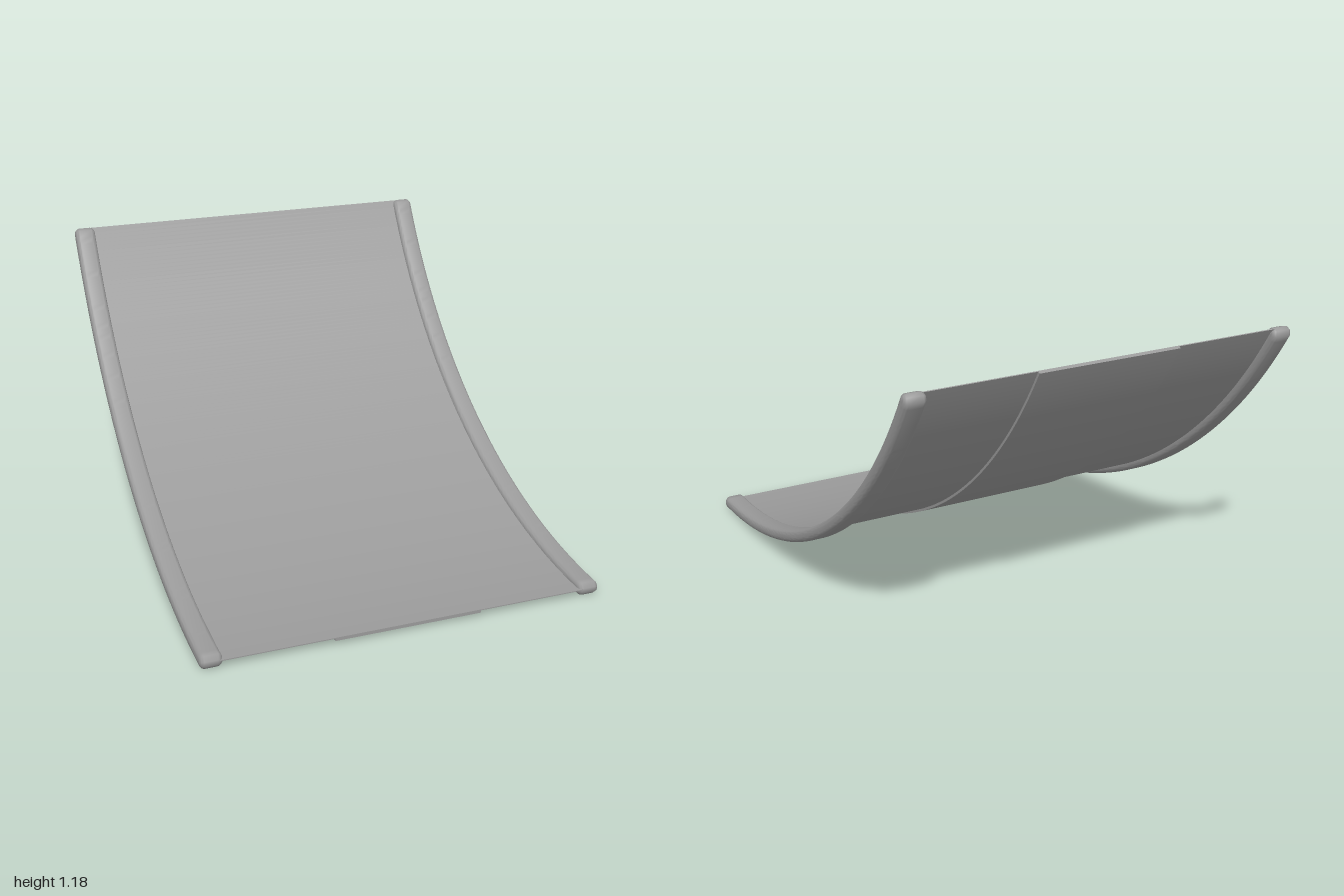
import * as THREE from 'three';
import { toCreasedNormals } from 'three/addons/utils/BufferGeometryUtils.js';

const R = 2.292;              // centreline radius of the side rails
const HALF = 0.027;           // half the rail thickness
const SWEEP = Math.PI / 3;    // the panel curves through 60 degrees
const START = -Math.PI / 2;
const material = new THREE.MeshStandardMaterial({ color: 0x9a9a9a });

// Curved band between two radii, extruded across x; bevel rounds all its edges
function curvedBand(name, inner, outer, width, bevel = 0) {
  const a = START - bevel / R;
  const b = START - SWEEP + bevel / R;
  const c = bevel * 0.18;     // chamfer of the end corners
  const shape = new THREE.Shape();
  const at = (r, t) => [r * Math.cos(t), r * Math.sin(t)];
  shape.moveTo(...at(outer, a - c / R));
  shape.absarc(0, 0, outer, a - c / R, b + c / R, true);
  if (c) {
    shape.lineTo(...at(outer - c, b));
    shape.lineTo(...at(inner + c, b));
  }
  shape.lineTo(...at(inner, b + c / R));
  shape.absarc(0, 0, inner, b + c / R, a - c / R, false);
  if (c) {
    shape.lineTo(...at(inner + c, a));
    shape.lineTo(...at(outer - c, a));
  }
  shape.closePath();

  const depth = width - 2 * bevel;
  const geometry = new THREE.ExtrudeGeometry(shape, {
    depth,
    curveSegments: 64,
    bevelEnabled: bevel > 0,
    bevelThickness: bevel,
    bevelSize: bevel,
    bevelSegments: 6,
  });
  geometry.translate(0, 0, -depth / 2);
  geometry.rotateY(-Math.PI / 2);
  geometry.translate(0, R + HALF, 1);
  const mesh = new THREE.Mesh(toCreasedNormals(geometry, 1), material);
  mesh.name = name;
  return mesh;
}

export function createModel() {
  const group = new THREE.Group();
  group.name = 'curvedPanel';

  // Thin sheet spanning the rails, with a raised strip along its underside
  group.add(curvedBand('sheet', R - 0.007, R - 0.003, 1.52));
  group.add(curvedBand('backStrip', R - 0.004, R + 0.007, 0.61));

  // Rounded rails along both sides
  const bevel = 0.022;
  for (const [name, side] of [['leftRail', 1], ['rightRail', -1]]) {
    const rail = curvedBand(name, R - HALF + bevel, R + HALF - bevel, 0.09, bevel);
    rail.position.x = side * 0.79;
    group.add(rail);
  }
  return group;
}
